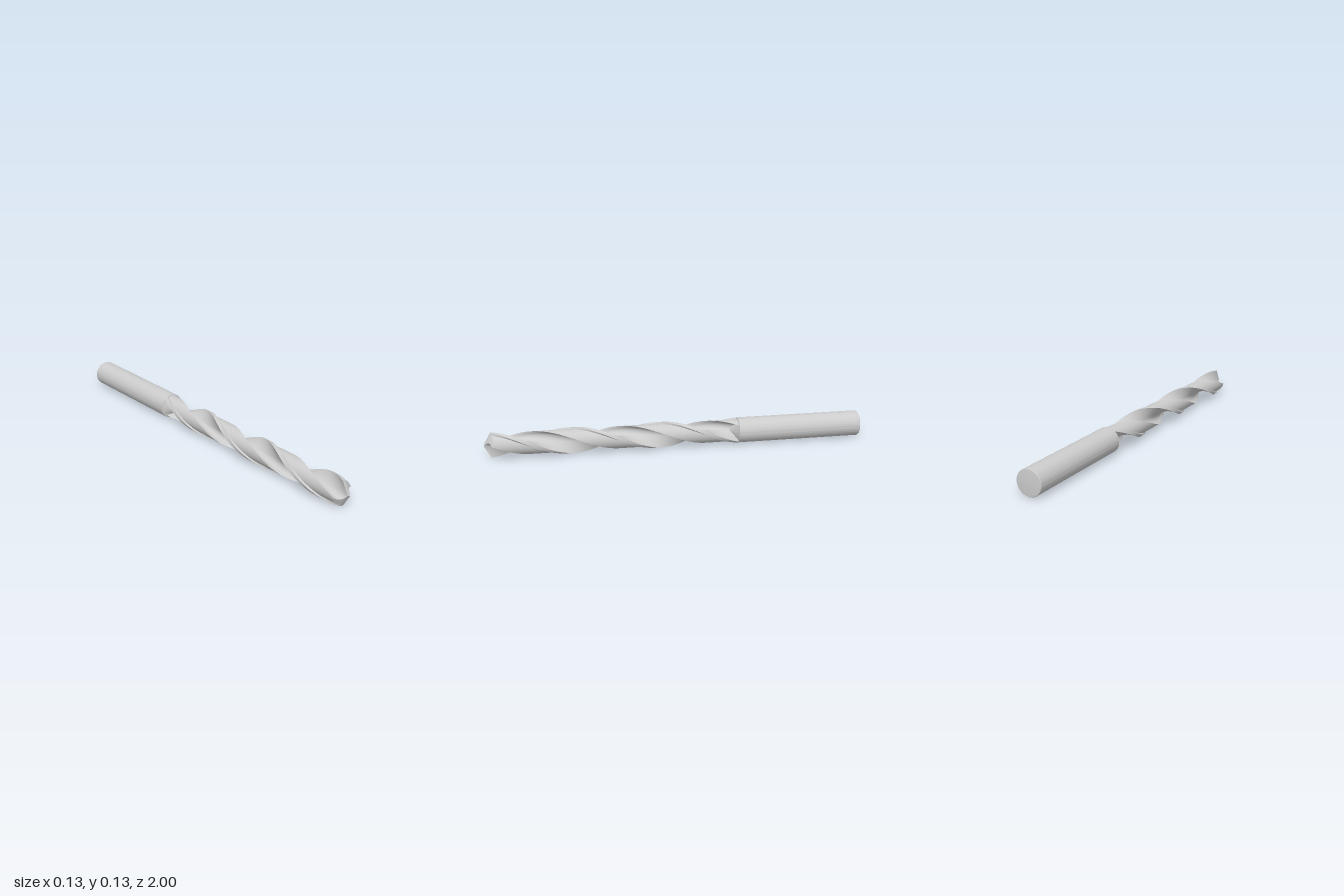
import * as THREE from 'three';
import { mergeGeometries, toCreasedNormals } from 'three/addons/utils/BufferGeometryUtils.js';

const R = 0.067;            // shank and margin radius
const LAND_R = 0.058;       // relieved land radius
const LIP_X = 0.008;        // half web thickness at the lips
const BAND_X = 0.012;       // back edge of the margin and primary facet
const Z0 = -0.33, Z1 = 0.98;
const TWIST = Math.PI / 0.465;
const STEPS = 160;

const range = (n, f) => Array.from({ length: n + 1 }, (_, i) => f(i / n));
const arc = (cx, cy, r, a0, a1, n) => range(n, t => {
  const a = a0 + (a1 - a0) * t;
  return new THREE.Vector2(cx + r * Math.cos(a), cy + r * Math.sin(a));
});
const turned = pts => pts.map(p => new THREE.Vector2(-p.x, -p.y));

// Ground point: lip slope, primary clearance, then a steeper secondary facet
function tipZ(x, y) {
  if (0.5 * x + y < 0) { x = -x; y = -y; }
  return 1.0023 - 0.58 * y - 0.29 * (Math.min(x, BAND_X) + LIP_X) - 0.7 * Math.max(0, x - BAND_X);
}

// Half of the cross-section, counter-clockwise from the heel of one land
const heel = new THREE.Vector2(0.0573, 0.009);
const land = arc(0, 0, LAND_R, heel.angle(), Math.acos(BAND_X / LAND_R), 18);
const margin = arc(0, 0, R, Math.acos(BAND_X / R), Math.acos(-LIP_X / R), 6);
const lipTop = margin[margin.length - 1];
const lip = range(8, t => new THREE.Vector2(-LIP_X, lipTop.y + (0.004 - lipTop.y) * t));
const bend = -Math.acos(20 / 24);
const webArc = arc(-0.032, 0.004, 0.024, 0, bend, 4);
const fluteArc = arc(-0.032, 0.004, 0.024, bend, -Math.PI * 2 / 3, 12);
const flute = [...lip, ...webArc.slice(1), ...fluteArc.slice(1), ...turned([land[0]])];
const step = [land[land.length - 1], margin[0]];

// Sweep a piece of the section along the helix up to the ground point
function sweep(pts) {
  const pos = [], idx = [], n = pts.length;
  for (let j = 0; j <= STEPS; j++) {
    const t = j / STEPS, a = TWIST * (t - 1) * (Z1 - Z0);
    const c = Math.cos(a), s = Math.sin(a);
    for (const p of pts) {
      pos.push(p.x * c - p.y * s, p.x * s + p.y * c, Z0 + (tipZ(p.x, p.y) - Z0) * t);
    }
  }
  for (let j = 0; j < STEPS; j++) {
    for (let i = 0; i < n - 1; i++) {
      const k = j * n + i;
      idx.push(k, k + 1, k + n + 1, k, k + n + 1, k + n);
    }
  }
  const g = new THREE.BufferGeometry();
  g.setAttribute('position', new THREE.Float32BufferAttribute(pos, 3));
  g.setIndex(idx);
  g.computeVertexNormals();
  return g;
}

// Flat facet of the point
function facet(outline) {
  const g = new THREE.ShapeGeometry(new THREE.Shape(outline)).toNonIndexed();
  const p = g.attributes.position;
  for (let i = 0; i < p.count; i++) p.setZ(i, tipZ(p.getX(i), p.getY(i)));
  g.deleteAttribute('uv');
  g.computeVertexNormals();
  return g;
}

export function createModel() {
  const model = new THREE.Group();
  const material = new THREE.MeshStandardMaterial({ color: 0xcccccc });
  const add = (name, geometry) => {
    const mesh = new THREE.Mesh(geometry, material);
    mesh.name = name;
    mesh.position.y = R;
    model.add(mesh);
  };

  // Fluted body: every strip appears twice, half a turn apart
  const both = pieces => mergeGeometries(pieces.flatMap(p => [p, p.clone().rotateZ(Math.PI)]));
  add('lands', both([sweep(land)]));
  add('margins', both([sweep(step), sweep(margin)]));
  add('flutes', both([sweep(flute)]));

  // Cutting point: primary facets meet at the chisel edge
  const primary = [...turned(webArc), ...margin, webArc[0]];
  const secondary = [...turned(fluteArc), ...land];
  add('cuttingPoint', both([facet(primary), facet(secondary)]));

  // Shank with a shallow conical back and a flute run-out at the shoulder
  const profile = [[0, -1], [R - 0.002, -0.993], [R, -0.99], [R, -0.327], [0.058, -0.325], [0.01, -0.285], [0, -0.285]]
    .map(([r, z]) => new THREE.Vector2(r, z));
  const shank = new THREE.LatheGeometry(profile, 72).rotateX(Math.PI / 2);
  add('shank', toCreasedNormals(shank, 0.5));

  return model;
}
